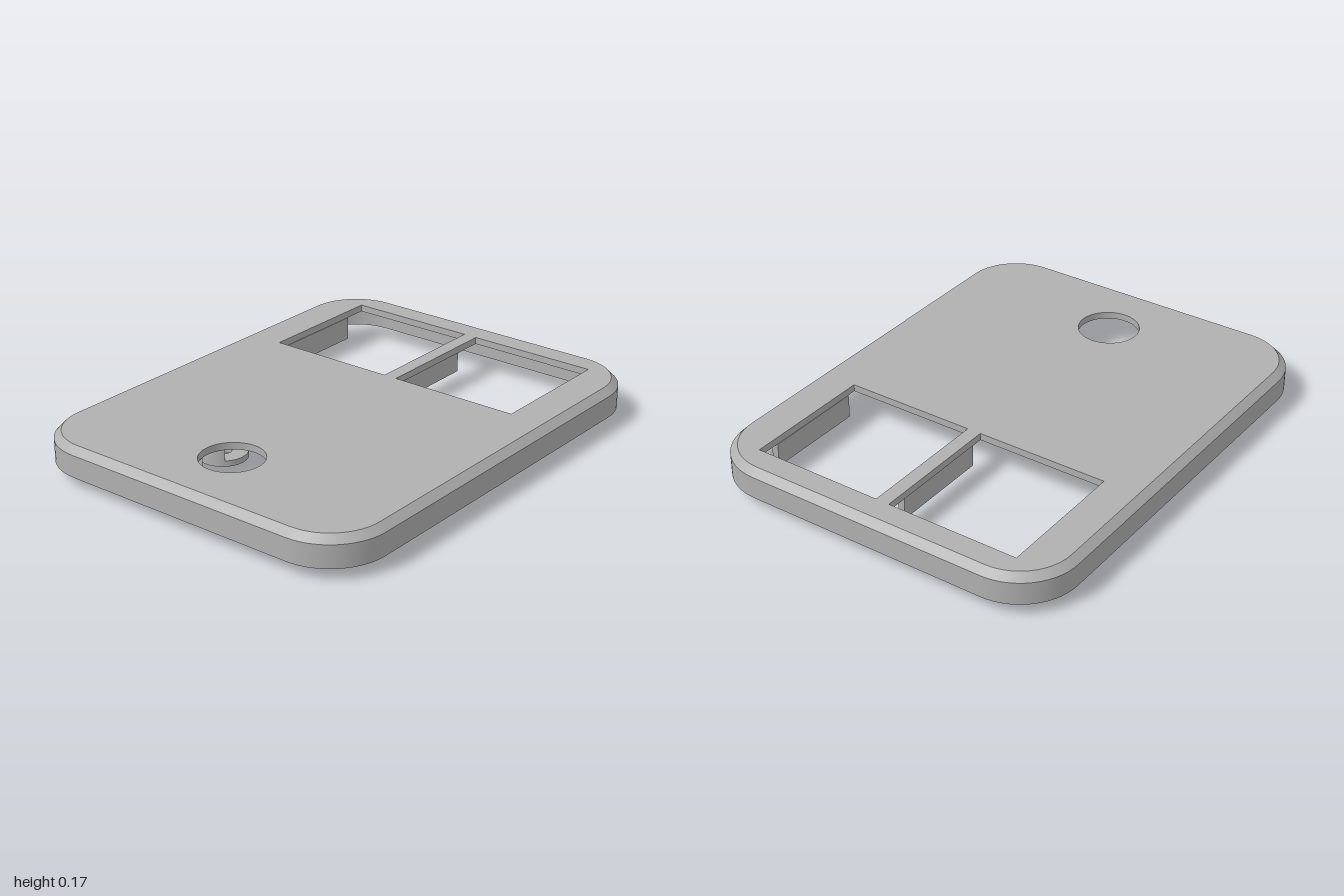
import * as THREE from 'three';
import { toCreasedNormals } from 'three/addons/utils/BufferGeometryUtils.js';

const HALF_W = 0.78, HALF_D = 1, RADIUS = 0.25;
const RIM_Y = 0.05, CEILING_Y = 0.145, TOP_Y = 0.175, WALL = 0.03;

// Rounded rectangle, counter-clockwise, moved inward by inset (shape y = -z)
function outline(inset, steps = 14) {
  const r = RADIUS - inset, cx = HALF_W - RADIUS, cy = HALF_D - RADIUS;
  const points = [];
  [[1, 1], [-1, 1], [-1, -1], [1, -1]].forEach(([sx, sy], corner) => {
    for (let i = 0; i <= steps; i++) {
      const a = (corner + i / steps) * Math.PI / 2;
      points.push(new THREE.Vector2(sx * cx + r * Math.cos(a), sy * cy + r * Math.sin(a)));
    }
  });
  return points;
}

// Sweeps a profile of [inset, y] pairs around the outline, with sharp profile edges
function sweepRim(profile) {
  const positions = [], index = [];
  for (let k = 0; k < profile.length - 1; k++) {
    const base = positions.length / 3;
    let n = 0;
    for (const [inset, y] of [profile[k], profile[k + 1]]) {
      const points = outline(inset);
      n = points.length;
      for (const p of points) positions.push(p.x, y, -p.y);
    }
    for (let i = 0; i < n; i++) {
      const a = base + i, b = base + (i + 1) % n;
      index.push(a, b, b + n, a, b + n, a + n);
    }
  }
  const geometry = new THREE.BufferGeometry();
  geometry.setAttribute('position', new THREE.Float32BufferAttribute(positions, 3));
  geometry.setIndex(index);
  geometry.computeVertexNormals();
  return geometry;
}

// Upright extrusion of a plan shape between two heights
function slab(shape, y0, y1) {
  const geometry = new THREE.ExtrudeGeometry(shape, { depth: y1 - y0, bevelEnabled: false, curveSegments: 32 });
  geometry.rotateX(-Math.PI / 2).translate(0, y0, 0);
  return toCreasedNormals(geometry, 0.5);
}

function circlePath(x, z, r) {
  return new THREE.Path().absarc(x, -z, r, 0, Math.PI * 2, true);
}

export function createModel() {
  const model = new THREE.Group();
  model.name = 'coverPlate';
  const grey = new THREE.MeshStandardMaterial({ color: 0xb0b0b0 });
  grey.name = 'plain grey';

  const add = (name, geometry, parent = model) => {
    const mesh = new THREE.Mesh(geometry, grey);
    mesh.name = name;
    parent.add(mesh);
    return mesh;
  };

  // Hollow rim with a chamfered upper edge
  add('rim', sweepRim([[WALL, CEILING_Y], [WALL, RIM_Y], [0, RIM_Y], [0, CEILING_Y], [WALL, TOP_Y]]));

  // Top panel with two square windows and a round hole
  const panel = new THREE.Shape(outline(WALL));
  for (const [x0, x1] of [[-0.6, -0.03], [0.03, 0.6]]) {
    panel.holes.push(new THREE.Path([
      new THREE.Vector2(x0, 0.3), new THREE.Vector2(x0, 0.875),
      new THREE.Vector2(x1, 0.875), new THREE.Vector2(x1, 0.3),
    ]));
  }
  panel.holes.push(circlePath(0, 0.68, 0.13));
  add('topPanel', slab(panel, CEILING_Y, TOP_Y));

  // Thin ribs beside the windows
  for (const x of [-0.613, -0.007, 0.613]) {
    const height = CEILING_Y - 0.044;
    add('windowRib', new THREE.BoxGeometry(0.03, height, 0.435))
      .position.set(x, 0.044 + height / 2, -0.557);
  }

  // Screw bosses: a drilled foot, two slot walls and a drilled neck
  const r = 0.1, slotAngle = Math.asin(0.7);
  const ring = new THREE.Shape().absarc(0, 0, r, 0, Math.PI * 2, false);
  ring.holes.push(circlePath(0, 0, 0.033));
  const cheek = new THREE.Shape().absarc(0, 0, r, slotAngle, Math.PI - slotAngle, false);
  const footGeometry = slab(ring, 0, 0.025);
  const cheekGeometry = slab(cheek, 0.025, 0.085);
  const neckGeometry = slab(ring, 0.085, CEILING_Y);
  for (const [x, z] of [[0.3, 0.67], [-0.3, 0.67], [0.28, 0.422], [-0.28, 0.422]]) {
    const boss = new THREE.Group();
    boss.name = 'screwBoss';
    boss.position.set(x, 0, z);
    add('bossFoot', footGeometry, boss);
    add('bossNeck', neckGeometry, boss);
    for (const turn of [0, Math.PI]) add('slotWall', cheekGeometry, boss).rotation.y = turn;
    model.add(boss);
  }

  return model;
}
